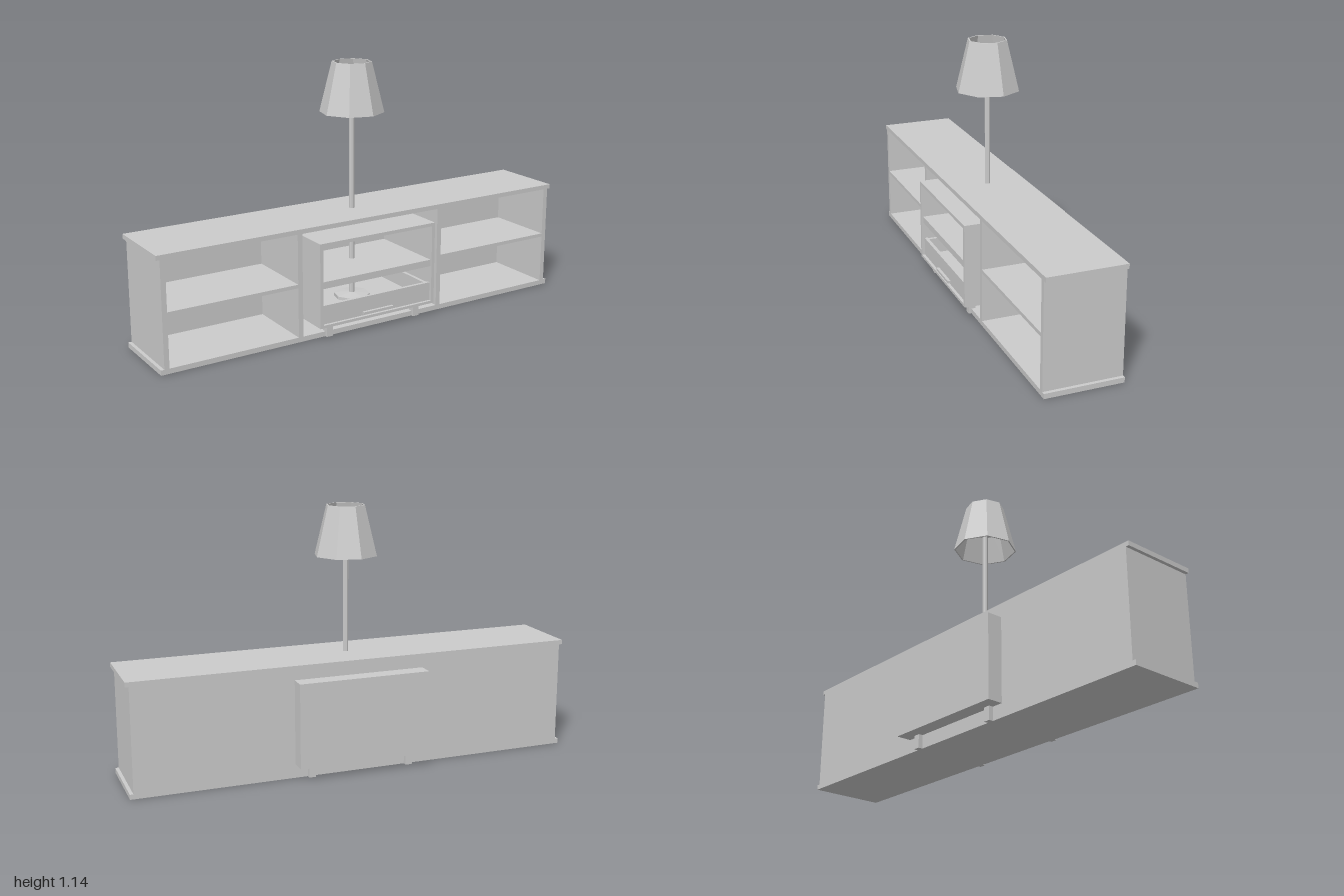
import * as THREE from 'three';

const material = new THREE.MeshStandardMaterial({ color: 0xcccccc, flatShading: true });

// Adds a box given by its lower and upper limits on each axis
function box(parent, name, [x0, x1], [y0, y1], [z0, z1]) {
  const mesh = new THREE.Mesh(new THREE.BoxGeometry(x1 - x0, y1 - y0, z1 - z0), material);
  mesh.position.set((x0 + x1) / 2, (y0 + y1) / 2, (z0 + z1) / 2);
  mesh.name = name;
  parent.add(mesh);
}

// Adds an eight-sided turned part from [radius, height] points
function turned(parent, name, points) {
  const profile = points.map(([r, y]) => new THREE.Vector2(r, y));
  const geometry = new THREE.LatheGeometry(profile, 8, THREE.MathUtils.degToRad(8));
  const mesh = new THREE.Mesh(geometry, material);
  mesh.name = name;
  parent.add(mesh);
}

function group(parent, name) {
  const g = new THREE.Group();
  g.name = name;
  parent.add(g);
  return g;
}

function buildCabinet(parent) {
  const cabinet = group(parent, 'cabinet');
  const depth = [-0.16, 0.178];
  const height = [0.022, 0.475];
  box(cabinet, 'cabinetTop', [-1, 1], [0.475, 0.495], depth);
  box(cabinet, 'cabinetBottom', [-1, 1], [0, 0.022], depth);
  box(cabinet, 'cabinetBack', [-0.985, 0.985], height, [-0.16, -0.145]);
  for (const x of [-0.985, -0.375, 0.34, 0.963])
    box(cabinet, 'uprightPanel', [x, x + 0.022], height, depth);
  for (const span of [[-0.963, -0.375], [0.362, 0.963]])
    box(cabinet, 'shelf', span, [0.242, 0.258], [-0.145, 0.178]);
}

function buildNightstand(parent) {
  const stand = group(parent, 'nightstand');
  const depth = [-0.23, 0.228];
  const inner = [-0.283, 0.275];
  // Open-fronted case
  box(stand, 'caseTop', [-0.298, 0.29], [0.418, 0.433], depth);
  box(stand, 'caseBottom', [-0.298, 0.29], [0.06, 0.072], depth);
  box(stand, 'caseSide', [-0.298, -0.283], [0.072, 0.418], depth);
  box(stand, 'caseSide', [0.275, 0.29], [0.072, 0.418], depth);
  box(stand, 'caseBack', inner, [0.072, 0.418], [-0.23, -0.215]);
  box(stand, 'caseShelf', inner, [0.232, 0.262], [-0.215, 0.22]);
  // Drawer, open at the top
  const drawer = group(stand, 'drawer');
  const wall = [0.084, 0.155];
  box(drawer, 'drawerFloor', [-0.275, 0.267], [0.074, 0.084], [-0.2, 0.2]);
  box(drawer, 'drawerFront', inner, [0.072, 0.155], [0.2, 0.215]);
  box(drawer, 'drawerBack', [-0.275, 0.267], wall, [-0.2, -0.185]);
  for (const x of [-0.275, 0.252])
    box(drawer, 'drawerSide', [x, x + 0.015], wall, [-0.185, 0.2]);
  box(drawer, 'drawerHandle', [-0.08, 0.073], [0.079, 0.09], [0.215, 0.228]);
  // Legs
  for (const x of [-0.245, 0.205])
    for (const z of [-0.18, 0.16])
      box(stand, 'leg', [x, x + 0.03], [0, 0.06], [z, z + 0.03]);
}

function buildLamp(parent) {
  const lamp = group(parent, 'lamp');
  lamp.position.set(-0.004, 0, 0.01);
  turned(lamp, 'lampBase', [[0, 0.084], [0.08, 0.084], [0.08, 0.098], [0, 0.105]]);
  turned(lamp, 'lampPost', [[0, 0.1], [0.012, 0.1], [0.012, 1.03], [0, 1.03]]);
  turned(lamp, 'bulb', [[0, 0.995], [0.045, 1.01], [0.05, 1.025], [0.02, 1.055], [0, 1.06]]);
  // Thin hollow shade
  turned(lamp, 'lampShade',
    [[0.134, 0.922], [0.14, 0.922], [0.086, 1.14], [0.08, 1.14], [0.134, 0.922]]);
}

export function createModel() {
  const model = new THREE.Group();
  model.name = 'cabinetWithLamp';
  buildCabinet(model);
  buildNightstand(model);
  buildLamp(model);
  return model;
}
